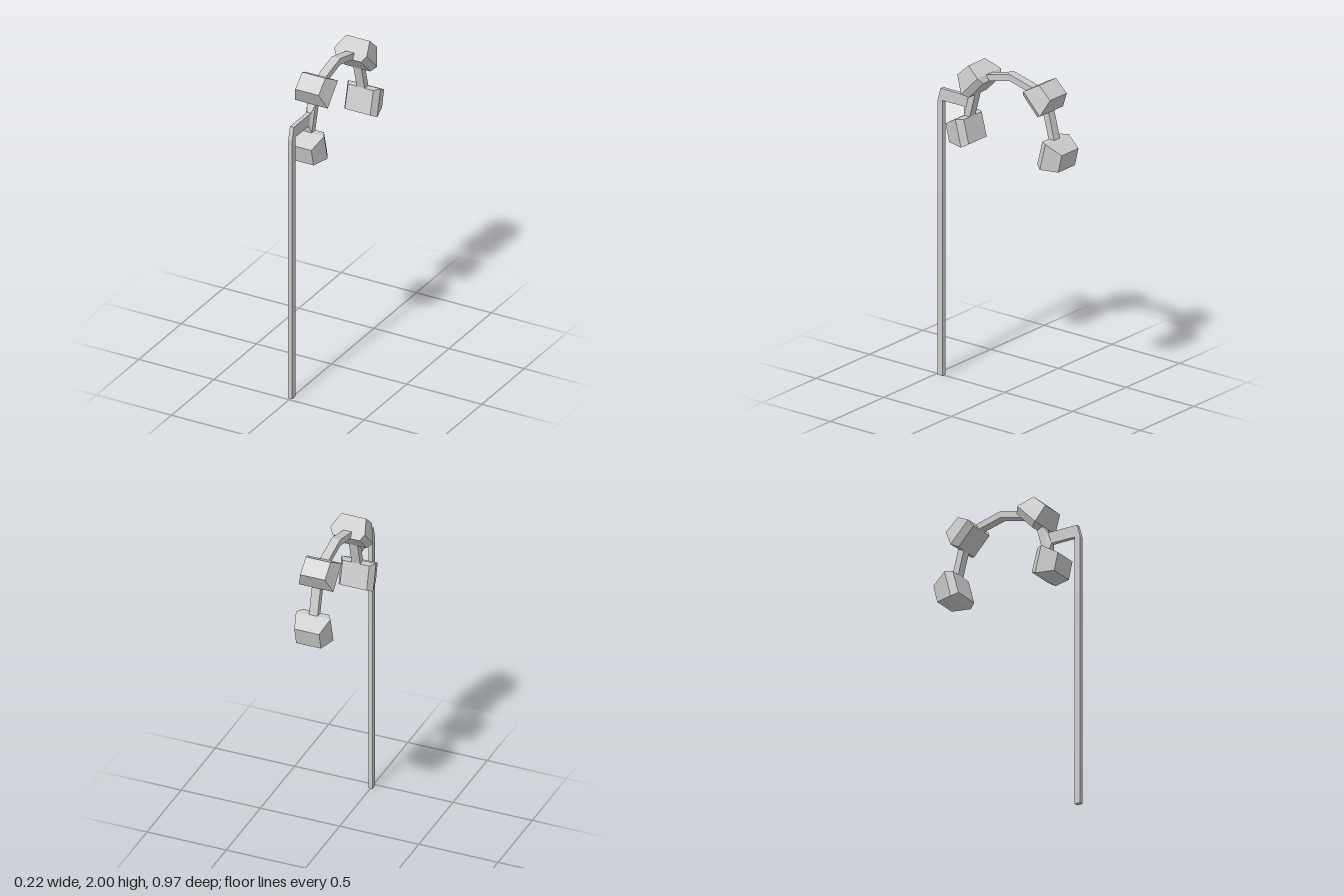
import * as THREE from 'three';

const material = new THREE.MeshStandardMaterial({ color: 0xcccccc, flatShading: true });
const MID_Z = -0.053; // symmetry plane of the arch

// Skins a row of rectangular sections [[z, y] of edge a, [z, y] of edge b, half width in x].
function loft(name, sections) {
  const rings = sections.map(([a, b, w]) => [
    [w, a[1], a[0]], [-w, a[1], a[0]], [-w, b[1], b[0]], [w, b[1], b[0]],
  ]);
  const positions = [];
  const quad = (a, b, c, d) => positions.push(...a, ...b, ...c, ...a, ...c, ...d);
  for (let s = 0; s < rings.length - 1; s++) {
    for (let i = 0; i < 4; i++) {
      const j = (i + 1) % 4;
      quad(rings[s][i], rings[s][j], rings[s + 1][j], rings[s + 1][i]);
    }
  }
  const first = rings[0], last = rings[rings.length - 1];
  quad(first[3], first[2], first[1], first[0]);
  quad(...last);
  const geometry = new THREE.BufferGeometry();
  geometry.setAttribute('position', new THREE.Float32BufferAttribute(positions, 3));
  geometry.computeVertexNormals();
  const mesh = new THREE.Mesh(geometry, material);
  mesh.name = name;
  return mesh;
}

// Two lamp heads on one side of the arch: narrow back, wide rim, tapered outer face
function lampPair(name) {
  const pair = new THREE.Group();
  pair.name = name;
  pair.add(
    loft('upperLamp', [
      [[0.095, 1.915], [0.2, 1.805], 0.084],
      [[0.116, 1.95], [0.238, 1.823], 0.109],
      [[0.208, 2.0], [0.29, 1.925], 0.078],
    ]),
    loft('lowerLamp', [
      [[0.238, 1.66], [0.2, 1.515], 0.084],
      [[0.28, 1.66], [0.238, 1.493], 0.109],
      [[0.376, 1.603], [0.35, 1.493], 0.078],
    ]),
  );
  return pair;
}

export function createModel() {
  const model = new THREE.Group();
  model.name = 'archLampPost';

  // Post bending into the arm, which flares where it meets the arch
  model.add(loft('postAndArm', [
    [[0.45, 0], [0.487, 0], 0.013],
    [[0.45, 1.707], [0.487, 1.7], 0.013],
    [[0.45, 1.707], [0.466, 1.78], 0.013],
    [[0.29, 1.707], [0.265, 1.78], 0.013],
    [[0.28, 1.66], [0.238, 1.823], 0.027],
  ]));

  // Faceted arch, inner and outer edge of each joint
  const half = [
    [[0.238, 1.66], [0.28, 1.66], 0.027],
    [[0.2, 1.805], [0.238, 1.823], 0.027],
    [[0.095, 1.915], [0.116, 1.95], 0.027],
  ];
  const flip = ([z, y]) => [2 * MID_Z - z, y];
  const otherHalf = half.map(([a, b, w]) => [flip(a), flip(b), w]).reverse();
  model.add(loft('arch', [...half, [[MID_Z, 1.952], [MID_Z, 1.993], 0.027], ...otherHalf]));

  // Lamps on both sides of the arch
  const back = lampPair('backLamps');
  back.rotation.y = Math.PI;
  back.position.z = 2 * MID_Z;
  model.add(lampPair('frontLamps'), back);

  return model;
}
